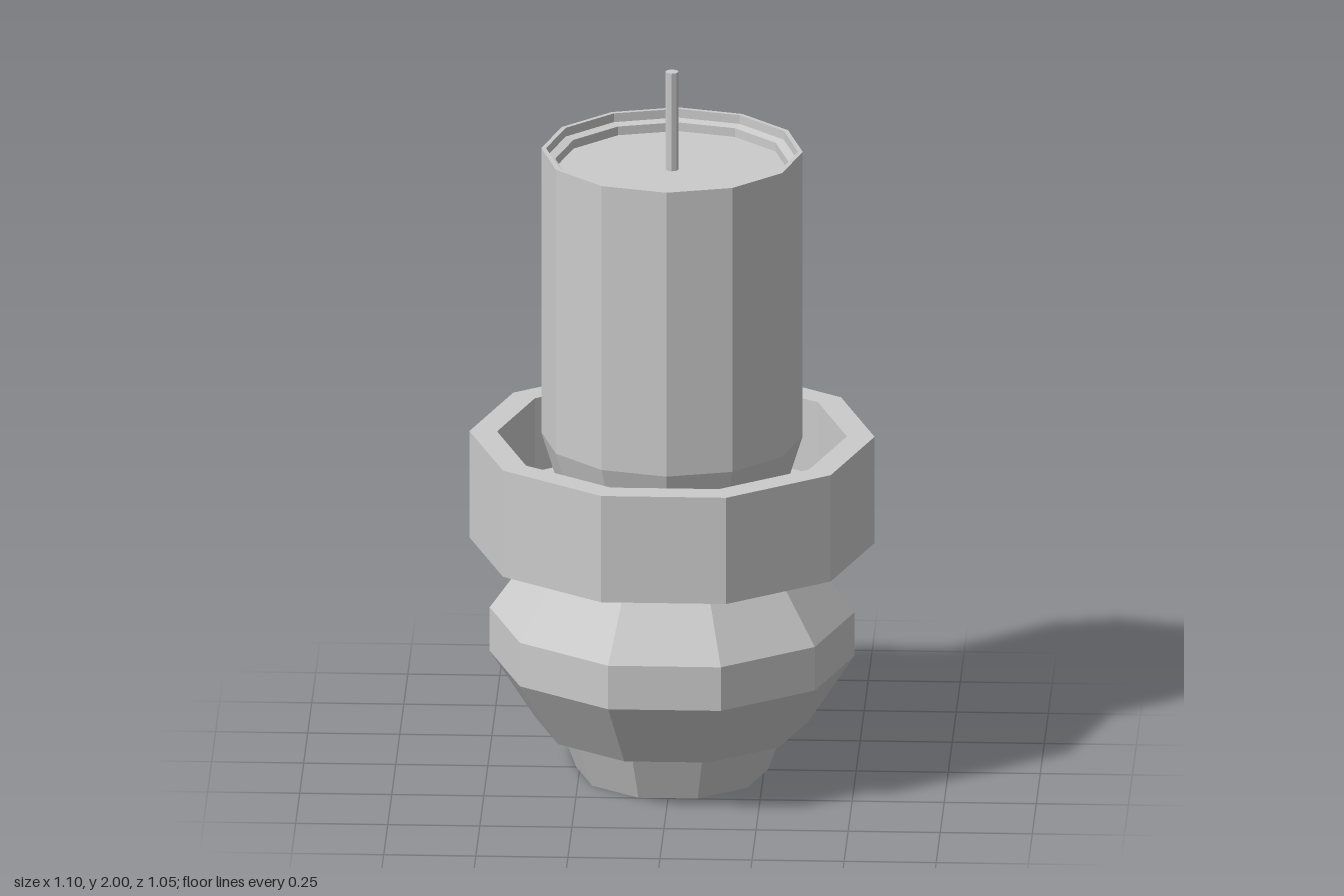
import * as THREE from 'three';

const material = new THREE.MeshStandardMaterial({
  color: 0xcccccc,
  flatShading: true,
  side: THREE.DoubleSide,
});

// Faceted solid turned from [radius, height] pairs
function turned(name, sides, profile, start = 0) {
  const points = profile.map(([r, y]) => new THREE.Vector2(r, y));
  const mesh = new THREE.Mesh(new THREE.LatheGeometry(points, sides, start), material);
  mesh.name = name;
  return mesh;
}

export function createModel() {
  const group = new THREE.Group();
  group.name = 'candleHolder';
  const corner = Math.PI / 2; // puts a corner of the ten-sided parts on the x axis

  // Flared foot, hollow from below
  group.add(turned('foot', 10, [[0.26, 0], [0.335, 0.2], [0, 0.2]], corner));

  // Bulging body with a short neck
  group.add(turned('body', 10, [
    [0.31, 0.14], [0.37, 0.14], [0.495, 0.33], [0.495, 0.455],
    [0.37, 0.63], [0.36, 0.63], [0.36, 0.655],
  ], corner));

  // Open cup with a thick wall
  group.add(turned('cup', 10, [
    [0, 0.655], [0.55, 0.655], [0.55, 0.96],
    [0.475, 0.96], [0.475, 0.75], [0, 0.75],
  ], corner));

  // Candle, narrowing inside the cup, with a stepped hollow at the top
  group.add(turned('candle', 12, [
    [0, 0.75], [0.29, 0.75], [0.355, 0.96], [0.355, 1.775],
    [0.342, 1.775], [0.342, 1.75], [0.317, 1.745], [0.317, 1.72], [0, 1.72],
  ]));

  // Wick
  const wick = new THREE.Mesh(new THREE.CylinderGeometry(0.018, 0.018, 0.28, 8), material);
  wick.name = 'wick';
  wick.position.y = 1.86;
  group.add(wick);

  return group;
}
